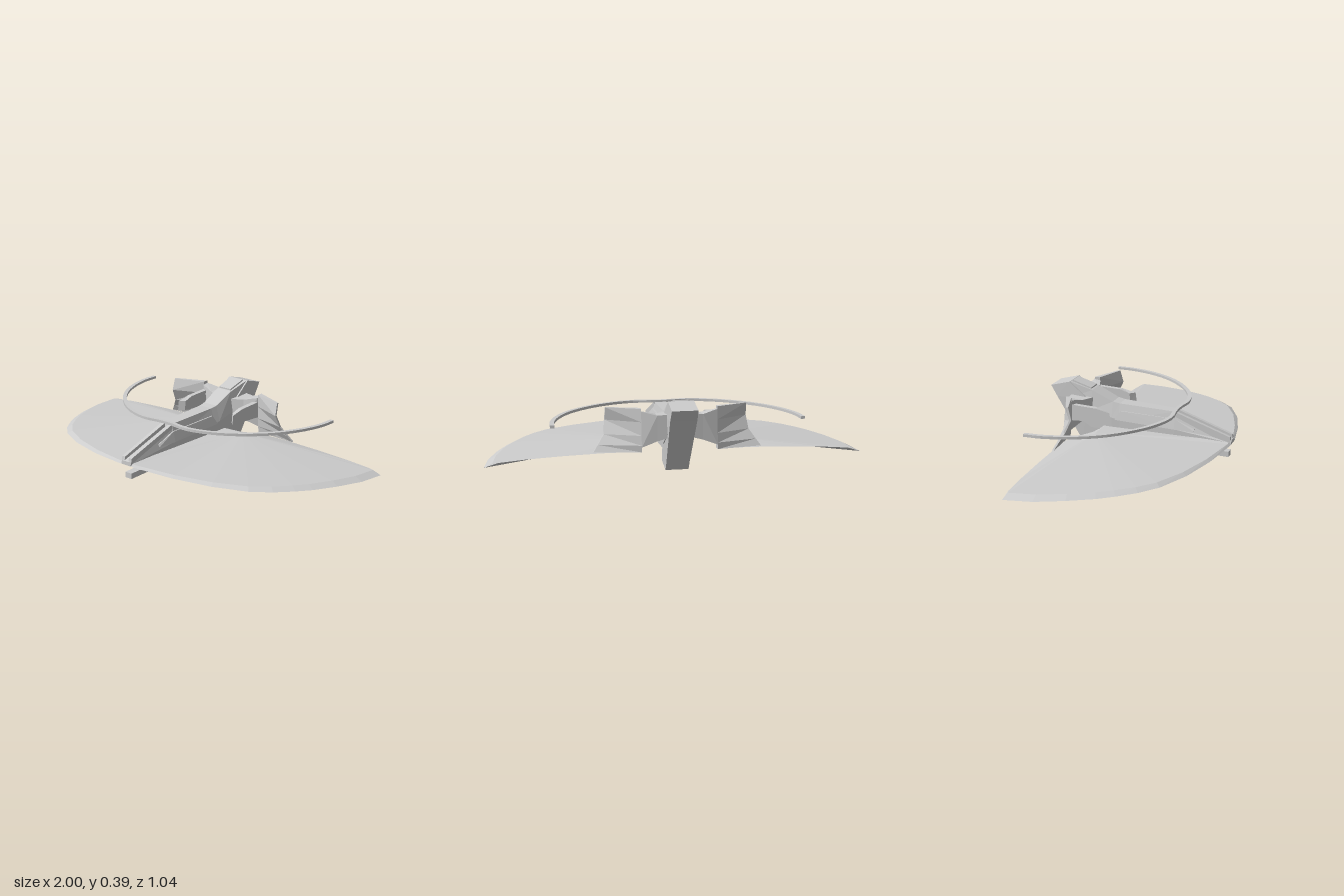
import * as THREE from 'three';

const material = new THREE.MeshStandardMaterial({ color: 0xcccccc, flatShading: true });
const sheet = new THREE.MeshStandardMaterial({ color: 0xcccccc, flatShading: true, side: THREE.DoubleSide });

function geometry(triangles) {
  const g = new THREE.BufferGeometry();
  g.setAttribute('position', new THREE.Float32BufferAttribute(triangles.flat(2), 3));
  g.computeVertexNormals();
  return g;
}

// Closed solid through matching loops of [x, y, z]; faces are turned outwards
function loft(loops) {
  const tris = [], n = loops[0].length;
  for (let i = 0; i + 1 < loops.length; i++) {
    for (let j = 0; j < n; j++) {
      const k = (j + 1) % n, a = loops[i], b = loops[i + 1];
      tris.push([a[j], a[k], b[k]], [a[j], b[k], b[j]]);
    }
  }
  const first = loops[0], last = loops[loops.length - 1];
  for (let j = 1; j + 1 < n; j++) {
    tris.push([first[0], first[j + 1], first[j]], [last[0], last[j], last[j + 1]]);
  }
  const v = (p) => new THREE.Vector3(...p);
  const volume = tris.reduce((s, [a, b, c]) => s + v(a).dot(v(b).cross(v(c))), 0);
  if (volume < 0) tris.forEach((t) => t.reverse());
  return geometry(tris);
}

// Rectangle across z
const rect = (x0, x1, y0, y1, z, slant = 0) =>
  [[x0, y0, z], [x1, y0, z], [x1, y1, z - slant], [x0, y1, z - slant]];

// Level rectangle, symmetric in x, with its own height at front and back
const level = (w, yFront, zFront, yBack, zBack) =>
  [[-w, yFront, zFront], [w, yFront, zFront], [w, yBack, zBack], [-w, yBack, zBack]];

// Solid from a side outline of [z, y] between two x planes
const slab = (outline, x0, x1) => loft([x0, x1].map((x) => outline.map(([z, y]) => [x, y, z])));

// Wing half: upper skin with a bevelled rim, lower skin fanned straight to the rim
function wingHalf(side) {
  const hub = [0.2, 0.16, -0.2], lowerHub = [0.2, 0.148, -0.2];
  // Rim from nose round to the tip, then along the back edge and notch
  const arc = [[0, 0.13, 0.515], [0.05, 0.122, 0.513], [0.28, 0.11, 0.47], [0.49, 0.103, 0.41],
    [0.66, 0.098, 0.33], [0.75, 0.094, 0.25], [0.82, 0.09, 0.16], [0.87, 0.086, 0.08],
    [0.93, 0.081, -0.05], [0.98, 0.074, -0.2], [1, 0.07, -0.35]];
  const back = [[0.93, 0.092, -0.35], [0.8, 0.103, -0.35], [0.6, 0.113, -0.35], [0.4, 0.119, -0.35],
    [0.27, 0.119, -0.35], [0.21, 0.14, -0.28], [0.17, 0.153, -0.225], [0.12, 0.157, -0.21], [0, 0.157, -0.2]];
  const rim = [...arc, ...back];
  const ring = rim.map((p, i) => {
    const t = 0.985 - 0.04 * p[0];
    const q = p.map((c, k) => hub[k] + (c - hub[k]) * t);
    if (i < arc.length) q[1] += 0.01 + 0.006 * p[0];
    return q;
  });
  const tris = [];
  rim.forEach((p, i) => {
    const k = (i + 1) % rim.length;
    tris.push([hub, ring[i], ring[k]], [ring[i], p, rim[k]], [ring[i], rim[k], ring[k]],
      [lowerHub, rim[k], p]);
  });
  tris.forEach((t) => { if (side < 0) t.reverse(); });
  return geometry(tris.map((t) => t.map(([x, y, z]) => [x * side, y, z])));
}

export function createModel() {
  const model = new THREE.Group();
  const add = (name, geo, mat = material) => {
    const mesh = new THREE.Mesh(geo, mat);
    mesh.name = name;
    model.add(mesh);
  };

  // Fuselage: [z, bottom, shoulder height, top, half width, top half width]
  const bodySection = ([z, yb, ym, yt, w, wt]) =>
    [[-w, yb, z], [w, yb, z], [w, ym, z], [wt, yt, z], [-wt, yt, z], [-w, ym, z]];
  add('fuselage', loft([
    [0.515, 0.124, 0.132, 0.145, 0.034, 0.025], [0.2, 0.13, 0.18, 0.25, 0.055, 0.035],
    [0.195, 0.13, 0.18, 0.274, 0.055, 0.032], [-0.12, 0.14, 0.2, 0.288, 0.068, 0.042],
    [-0.16, 0.14, 0.21, 0.295, 0.07, 0.045], [-0.28, 0.14, 0.24, 0.35, 0.07, 0.05],
    [-0.41, 0.22, 0.3, 0.389, 0.07, 0.06],
  ].map(bodySection)));

  // Slanted tail block
  add('tailBlock', loft([
    level(0.062, 0.03, -0.21, 0.004, -0.31), level(0.062, 0.08, -0.21, 0.05, -0.337),
    level(0.07, 0.3, -0.3, 0.3, -0.485), level(0.068, 0.39, -0.41, 0.36, -0.522),
  ]));
  add('topHatch', slab([[-0.29, 0.35], [-0.29, 0.361], [-0.4, 0.394], [-0.405, 0.385]], -0.04, 0.04));

  // Long keel gun below the nose
  add('gunBarrel', loft([rect(-0.022, 0.022, 0.047, 0.077, 0.5), rect(-0.022, 0.022, 0.062, 0.092, 0.1)]));
  add('gunHousing', loft([rect(-0.03, 0.03, 0.057, 0.095, 0.105), rect(-0.03, 0.03, 0.068, 0.115, -0.345)]));

  for (const s of [1, -1]) {
    const tag = s > 0 ? 'left' : 'right';
    const addSide = (name, loops) =>
      add(tag + name, loft(loops.map((l) => l.map(([x, y, z]) => [x * s, y, z]))));

    add(tag + 'Wing', wingHalf(s), sheet);

    // Rails that frame the groove on top of the nose
    addSide('NoseRail', [rect(0.014, 0.034, 0.124, 0.165, 0.515, 0.008), rect(0.014, 0.036, 0.2, 0.272, 0.2)]);

    // Raised strip along the fuselage side
    addSide('SidePanel', [
      [[0.03, 0.18, 0.31], [0.051, 0.18, 0.31], [0.043, 0.192, 0.31], [0.03, 0.192, 0.31]],
      [[0.03, 0.18, 0.2], [0.061, 0.18, 0.2], [0.047, 0.236, 0.2], [0.03, 0.236, 0.2]],
      [[0.04, 0.2, -0.14], [0.073, 0.2, -0.14], [0.06, 0.25, -0.11], [0.04, 0.25, -0.11]],
    ]);

    // Arm joining the fuselage to the fin
    addSide('FinArm', [
      [[0.05, 0.2, -0.26], [0.05, 0.31, -0.27], [0.05, 0.32, -0.4], [0.05, 0.2, -0.4]],
      [[0.12, 0.2, -0.3], [0.12, 0.31, -0.31], [0.12, 0.315, -0.395], [0.12, 0.18, -0.395]],
      [[0.2, 0.16, -0.345], [0.2, 0.33, -0.335], [0.2, 0.335, -0.372], [0.2, 0.15, -0.392]],
    ]);

    // Fin sections, top to bottom: [y, inner front z, inner back z, outer x, outer front z]
    addSide('Fin', [
      [0.348, -0.338, -0.37, 0.375, -0.28], [0.28, -0.338, -0.378, 0.378, -0.262],
      [0.21, -0.34, -0.385, 0.386, -0.295], [0.16, -0.345, -0.392, 0.42, -0.32],
      [0.125, -0.35, -0.392, 0.445, -0.336],
    ].map(([y, zf, zb, x, z]) => [[0.2, y, zf], [x, y, z], [x, y, z - 0.012], [0.2, y, zb]]));

    // Small forward cannon on the arm
    addSide('Cannon', [
      rect(0.172, 0.2, 0.215, 0.305, -0.345), rect(0.172, 0.2, 0.222, 0.298, -0.2),
      [[0.172, 0.228, -0.14], [0.2, 0.228, -0.112], [0.2, 0.28, -0.118], [0.172, 0.28, -0.145]],
    ]);
  }

  // Thin hoop sweeping round above the wing
  const half = [[0.655, -0.4], [0.65, -0.3], [0.61, -0.16], [0.53, -0.02], [0.41, 0.1], [0.28, 0.178], [0.15, 0.212]];
  const path = [...half, [0.04, 0.2], [-0.04, 0.2], ...half.map(([x, z]) => [-x, z]).reverse()];
  const curve = new THREE.CatmullRomCurve3(path.map(([x, z]) => new THREE.Vector3(x, 0, z)));
  add('hoop', loft(Array.from({ length: 49 }, (_, i) => {
    const p = curve.getPoint(i / 48), t = curve.getTangent(i / 48);
    const nx = -t.z * 0.011, nz = t.x * 0.011;
    return [[p.x - nx, 0.271, p.z - nz], [p.x + nx, 0.271, p.z + nz],
      [p.x + nx, 0.285, p.z + nz], [p.x - nx, 0.285, p.z - nz]];
  })));

  return model;
}
